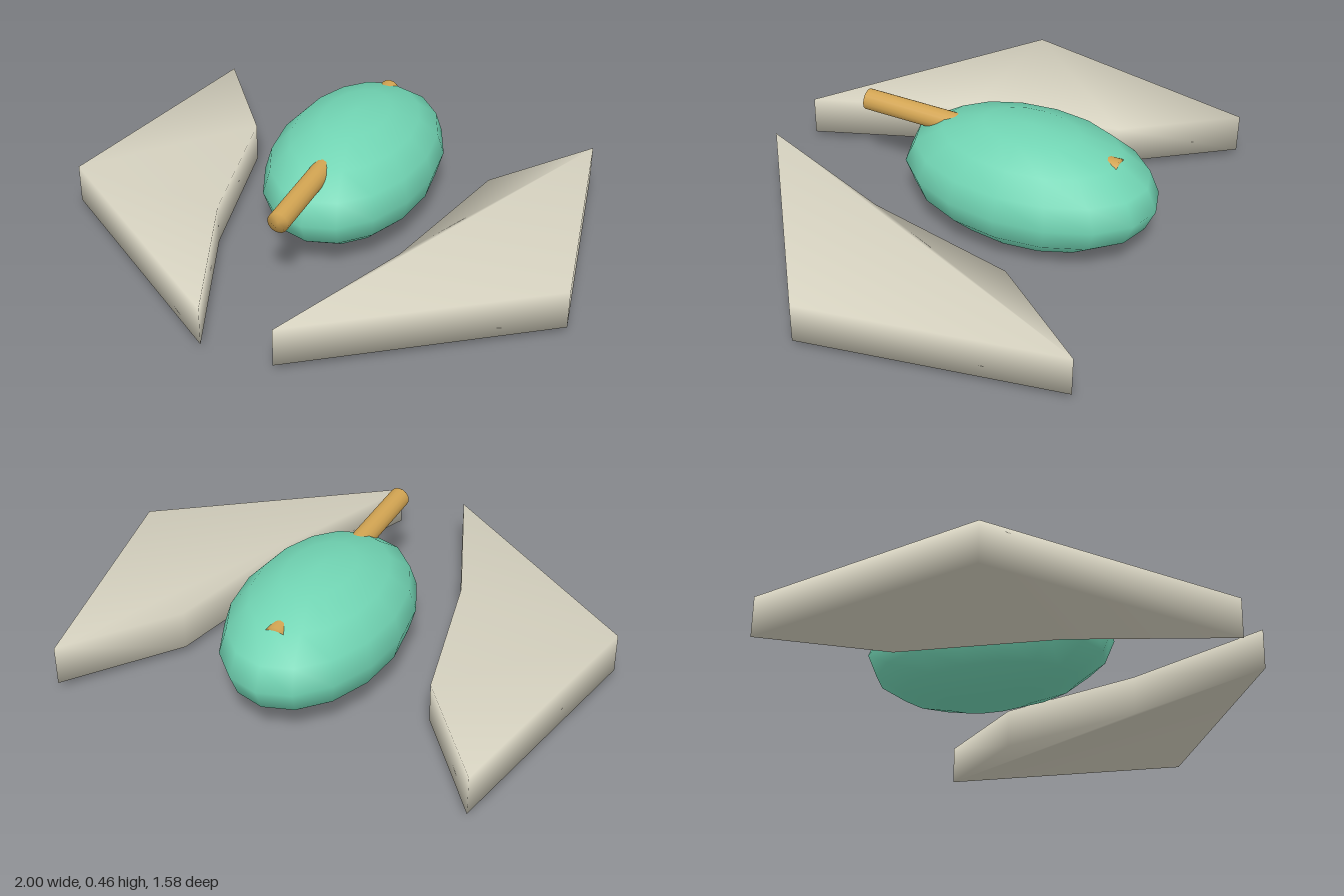
import * as THREE from 'three';
import { mergeVertices } from 'three/addons/utils/BufferGeometryUtils.js';

// Weld corners so that shading flows smoothly over every edge
function soften(geometry) {
  geometry.deleteAttribute('uv');
  geometry.deleteAttribute('normal');
  const welded = mergeVertices(geometry, 1e-4);
  welded.computeVertexNormals();
  return welded;
}

export function createModel() {
  const group = new THREE.Group();
  const hullGreen = new THREE.MeshStandardMaterial({ name: 'hullGreen', color: 0x71d4b3 });
  const wingGrey = new THREE.MeshStandardMaterial({ name: 'wingGrey', color: 0xd6d2c0 });
  const brass = new THREE.MeshStandardMaterial({ name: 'brass', color: 0xd2a452 });

  const add = (name, geometry, material) => {
    const mesh = new THREE.Mesh(geometry, material);
    mesh.name = name;
    group.add(mesh);
  };

  // Hull: a stretched low-poly ball
  const hull = new THREE.SphereGeometry(1, 16, 8);
  hull.scale(0.32, 0.23, 0.5);
  hull.translate(0, 0.235, -0.25);
  add('hull', soften(hull), hullGreen);

  // Barrel: runs through the upper hull and pokes out at the back
  const barrel = new THREE.CylinderGeometry(0.041, 0.041, 1.04, 16);
  barrel.rotateX(Math.PI / 2);
  barrel.translate(0, 0.372, -0.08);
  add('barrel', soften(barrel), brass);

  // Wings: flat slabs on either side, outline given as x, z
  const outline = [[0.14, 0.785], [0.37, 0.2], [0.5, -0.395], [0.805, -0.79], [1, 0.17]];
  for (const [name, side] of [['leftWing', 1], ['rightWing', -1]]) {
    const shape = new THREE.Shape(outline.map(([x, z]) => new THREE.Vector2(side * x, z)));
    const wing = new THREE.ExtrudeGeometry(shape, { depth: 0.155, bevelEnabled: false });
    wing.rotateX(Math.PI / 2);
    wing.translate(0, 0.19, 0);
    add(name, soften(wing), wingGrey);
  }

  return group;
}
